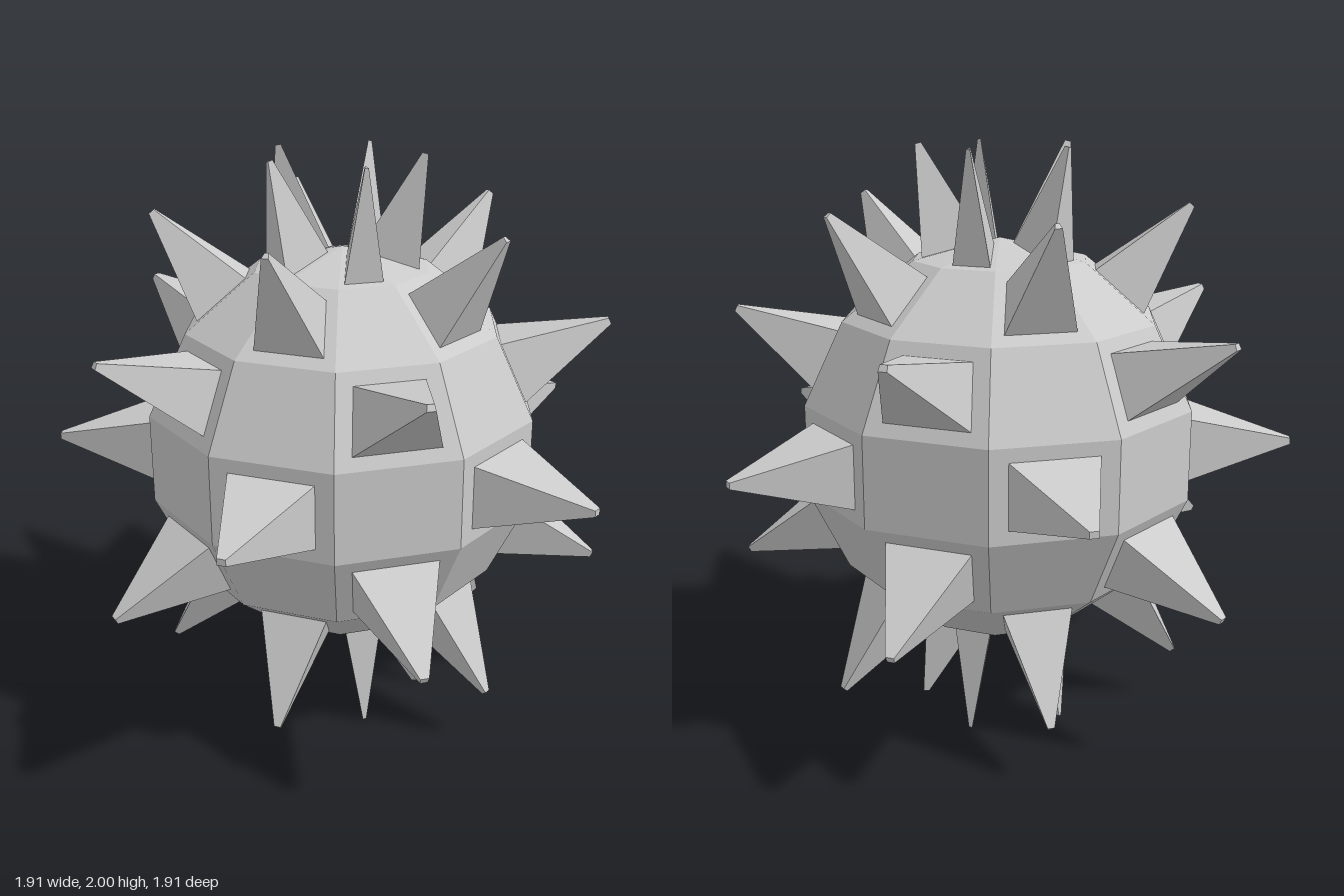
import * as THREE from 'three';

const RADIUS = 0.69, SEGMENTS = 10, ROWS = 7;
const SPIKE_LENGTH = 0.36, BASE_SCALE = 0.7, TIP_SCALE = 0.07;

// Point on the ball; row 0 is the south pole, row 7 the north pole
function ballPoint(row, seg) {
  const lat = (row / ROWS - 0.5) * Math.PI;
  const lon = ((seg - 0.5) / SEGMENTS) * Math.PI * 2;
  const r = RADIUS * Math.cos(lat);
  return new THREE.Vector3(r * Math.cos(lon), RADIUS * Math.sin(lat), -r * Math.sin(lon));
}

// Corners of one facet, counter-clockwise from outside (three at the poles)
function facetCorners(row, seg) {
  const corners = [];
  if (row > 0) corners.push(ballPoint(row, seg), ballPoint(row, seg + 1));
  else corners.push(ballPoint(0, seg));
  if (row < ROWS - 1) corners.push(ballPoint(row + 1, seg + 1), ballPoint(row + 1, seg));
  else corners.push(ballPoint(ROWS, seg));
  return corners;
}

// Tapered spike: the facet shrunk at the base, shrunk further at the blunt tip
function spikeGeometry(corners) {
  const n = corners.length;
  const centre = new THREE.Vector3();
  corners.forEach(c => centre.addScaledVector(c, 1 / n));
  const normal = corners[1].clone().sub(corners[0])
    .cross(corners[2].clone().sub(corners[0])).normalize();
  const ring = (scale, height) => corners.map(c =>
    centre.clone().lerp(c, scale).addScaledVector(normal, height));
  const base = ring(BASE_SCALE, 0);
  const tip = ring(TIP_SCALE, SPIKE_LENGTH);

  const points = [];
  for (let i = 0; i < n; i++) {
    const j = (i + 1) % n;
    points.push(base[i], base[j], tip[j], base[i], tip[j], tip[i]);
  }
  for (let i = 1; i < n - 1; i++) points.push(tip[0], tip[i], tip[i + 1]);
  const geometry = new THREE.BufferGeometry().setFromPoints(points);
  geometry.computeVertexNormals();
  return geometry;
}

export function createModel() {
  const model = new THREE.Group();
  model.name = 'spikedBall';
  const material = new THREE.MeshStandardMaterial({ color: 0xcccccc, flatShading: true });

  // Faceted body
  const body = new THREE.Mesh(
    new THREE.SphereGeometry(RADIUS, SEGMENTS, ROWS, Math.PI / SEGMENTS), material);
  body.name = 'body';
  model.add(body);

  // Spikes on every other facet, staggered like a checkerboard
  for (let row = 0; row < ROWS; row++) {
    const ring = new THREE.Group();
    ring.name = `spikeRing${row + 1}`;
    for (let seg = (row + 1) % 2; seg < SEGMENTS; seg += 2) {
      const spike = new THREE.Mesh(spikeGeometry(facetCorners(row, seg)), material);
      spike.name = 'spike';
      ring.add(spike);
    }
    model.add(ring);
  }

  // Five-fold spikes reach unevenly along x, so shift to centre the whole
  model.position.set(-0.046, 1, 0);
  return model;
}
